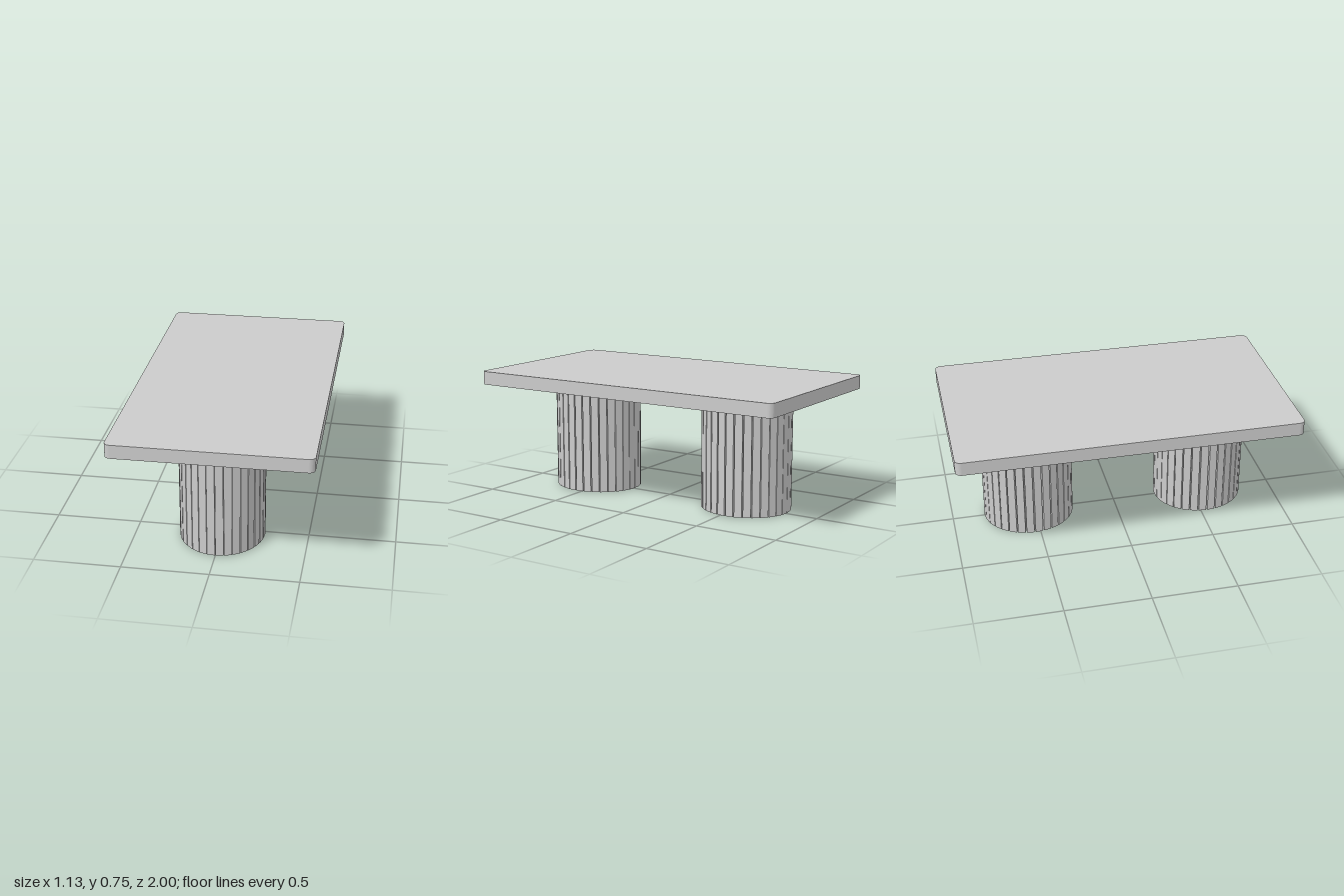
import * as THREE from 'three';

const material = new THREE.MeshStandardMaterial({ color: 0xcccccc });

// Rectangular top with rounded corners
function makeTop() {
  const w = 0.565, d = 1, r = 0.035;
  const s = new THREE.Shape();
  s.moveTo(-w + r, -d);
  s.lineTo(w - r, -d);
  s.absarc(w - r, -d + r, r, -Math.PI / 2, 0);
  s.absarc(w - r, d - r, r, 0, Math.PI / 2);
  s.absarc(-w + r, d - r, r, Math.PI / 2, Math.PI);
  s.absarc(-w + r, -d + r, r, Math.PI, Math.PI * 1.5);
  const geometry = new THREE.ExtrudeGeometry(s, { depth: 0.08, bevelEnabled: false, curveSegments: 6 });
  geometry.rotateX(-Math.PI / 2);
  const top = new THREE.Mesh(geometry, material);
  top.name = 'tableTop';
  top.position.y = 0.675;
  return top;
}

// Oval pedestal: a solid core ringed by upright slats
function makePedestal(name, z) {
  const pedestal = new THREE.Group();
  pedestal.name = name;
  pedestal.position.z = z;
  const height = 0.675, lift = 0.003, count = 32, thickness = 0.026;
  const rx = 0.247, rz = 0.271;

  const core = new THREE.Mesh(new THREE.CylinderGeometry(1, 1, height, 64), material);
  core.name = 'core';
  core.scale.set(rx - 0.024, 1, rz - 0.024);
  core.position.y = height / 2;
  pedestal.add(core);

  const slatGeometry = new THREE.BoxGeometry(0.0455, height - lift, thickness);
  for (let i = 0; i < count; i++) {
    const t = ((i + 0.5) / count) * Math.PI * 2;
    // Outward direction of the oval at this slat
    const n = new THREE.Vector2(Math.sin(t) / rx, Math.cos(t) / rz).normalize();
    const slat = new THREE.Mesh(slatGeometry, material);
    slat.name = 'slat';
    slat.position.set(
      rx * Math.sin(t) - n.x * thickness / 2,
      (height + lift) / 2,
      rz * Math.cos(t) - n.y * thickness / 2
    );
    slat.rotation.y = Math.atan2(n.x, n.y);
    pedestal.add(slat);
  }
  return pedestal;
}

export function createModel() {
  const table = new THREE.Group();
  table.name = 'table';
  table.add(makeTop(), makePedestal('frontPedestal', 0.535), makePedestal('backPedestal', -0.535));
  return table;
}
